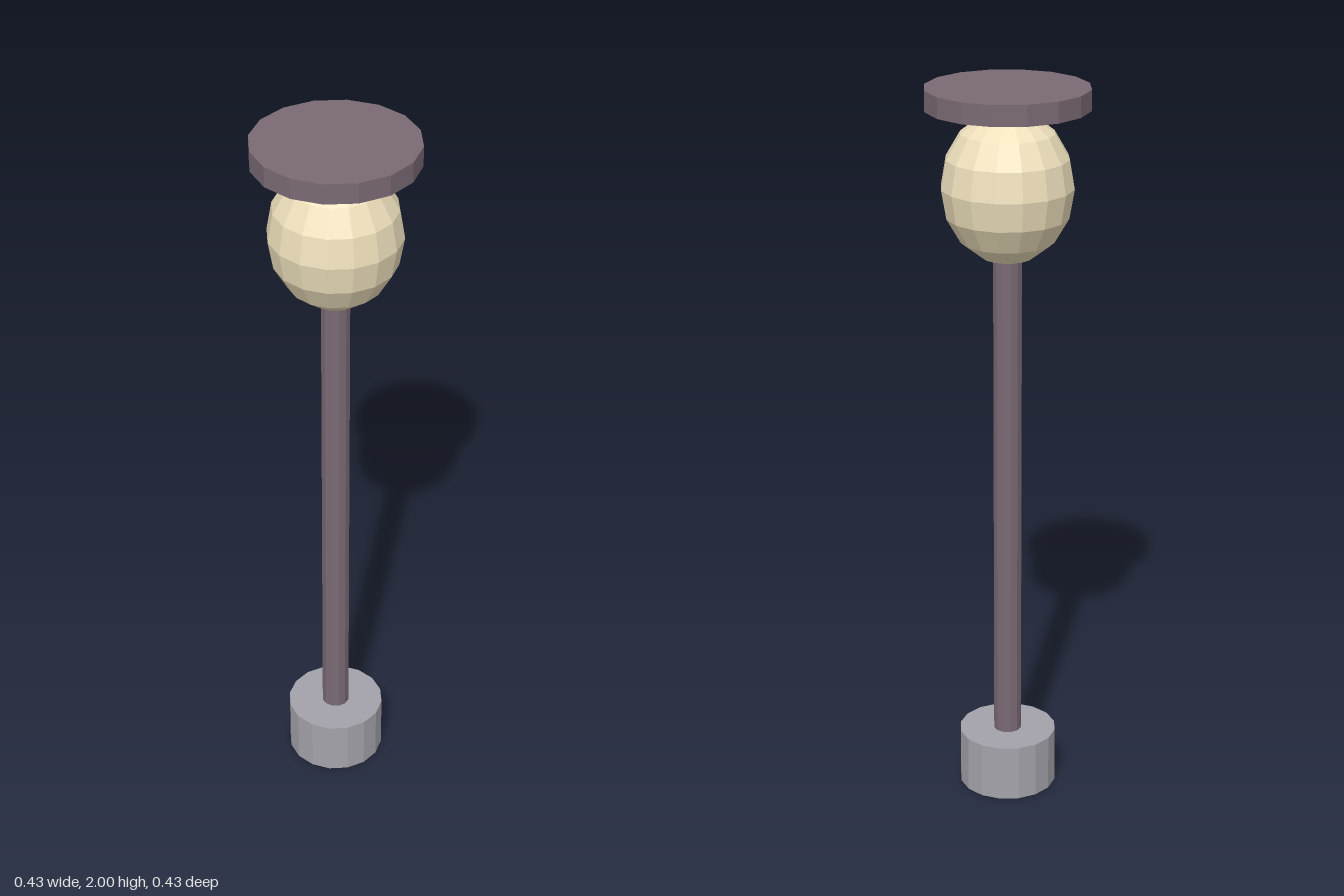
import * as THREE from 'three';

const SIDES = 16;

function material(color) {
  return new THREE.MeshStandardMaterial({ color, flatShading: true });
}

export function createModel() {
  const lamp = new THREE.Group();
  lamp.name = 'streetLamp';
  const metal = material(0x7a6a74);
  const stone = material(0xa4a3ab);
  const glass = material(0xeee0bc);

  // Upright cylinder spanning two heights
  function column(name, radius, bottom, top, sides, mat) {
    const mesh = new THREE.Mesh(new THREE.CylinderGeometry(radius, radius, top - bottom, sides), mat);
    mesh.position.y = (bottom + top) / 2;
    mesh.name = name;
    lamp.add(mesh);
  }

  column('base', 0.136, 0, 0.16, SIDES, stone);
  column('post', 0.039, 0.16, 1.56, 12, metal);
  column('cap', 0.217, 1.945, 2, SIDES, metal);

  // Slightly tall faceted globe between post and cap
  const globe = new THREE.Mesh(new THREE.SphereGeometry(1, SIDES, 8), glass);
  globe.scale.set(0.176, 0.203, 0.176);
  globe.position.y = 1.738;
  globe.name = 'globe';
  lamp.add(globe);

  return lamp;
}
